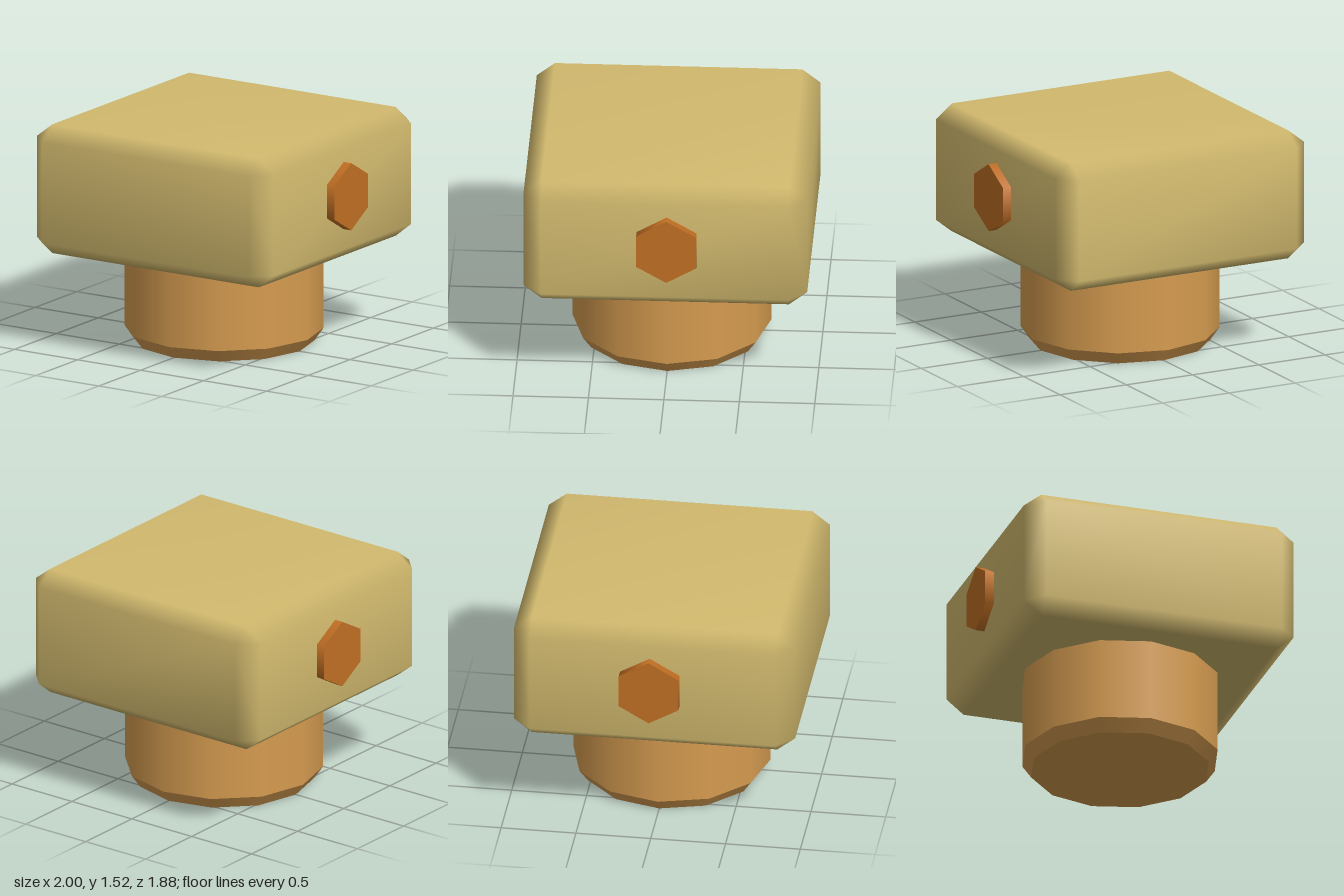
import * as THREE from 'three';
import { mergeVertices } from 'three/addons/utils/BufferGeometryUtils.js';
import { ConvexGeometry } from 'three/addons/geometries/ConvexGeometry.js';

const brass = new THREE.MeshStandardMaterial({ name: 'pale brass', color: 0xd2ba6e });
const bronze = new THREE.MeshStandardMaterial({ name: 'bronze', color: 0xd69c50 });
const copper = new THREE.MeshStandardMaterial({ name: 'copper', color: 0xc27024 });

// Box with one-step bevels on every edge; shared vertices give soft normals
function beveledBox(half, bevel) {
  const points = [];
  for (const sx of [-1, 1]) for (const sy of [-1, 1]) for (const sz of [-1, 1]) {
    const inner = half.clone().sub(bevel);
    for (const axis of ['x', 'y', 'z']) {
      const p = inner.clone();
      p[axis] = half[axis];
      points.push(p.multiply(new THREE.Vector3(sx, sy, sz)));
    }
  }
  const geometry = new ConvexGeometry(points);
  geometry.deleteAttribute('normal');
  const merged = mergeVertices(geometry);
  merged.computeVertexNormals();
  return merged;
}

export function createModel() {
  const model = new THREE.Group();
  const add = (name, geometry, material, x, y, z) => {
    const mesh = new THREE.Mesh(geometry, material);
    mesh.name = name;
    mesh.position.set(x, y, z);
    model.add(mesh);
    return mesh;
  };

  // Block head
  add('head', beveledBox(new THREE.Vector3(0.94, 0.44, 0.94), new THREE.Vector3(0.12, 0.095, 0.12)),
    brass, 0, 1.085, 0);

  // Twelve-sided neck with a chamfered foot
  const neck = 0.66, foot = 0.6, chamfer = 0.085, neckTop = 0.7;
  add('neck', new THREE.CylinderGeometry(neck, neck, neckTop - chamfer, 12, 1, true),
    bronze, 0, (neckTop + chamfer) / 2, 0);
  add('footChamfer', new THREE.CylinderGeometry(neck, foot, chamfer, 12, 1, true),
    bronze, 0, chamfer / 2, 0);
  const sole = add('sole', new THREE.CircleGeometry(foot, 12), bronze, 0, 0, 0);
  sole.rotation.x = Math.PI / 2;

  // Hexagonal pin through both sides of the head
  const pin = add('pin', new THREE.CylinderGeometry(0.23, 0.23, 2, 6, 1, false, Math.PI / 2),
    copper, 0, 1.11, -0.015);
  pin.rotation.z = Math.PI / 2;

  return model;
}
